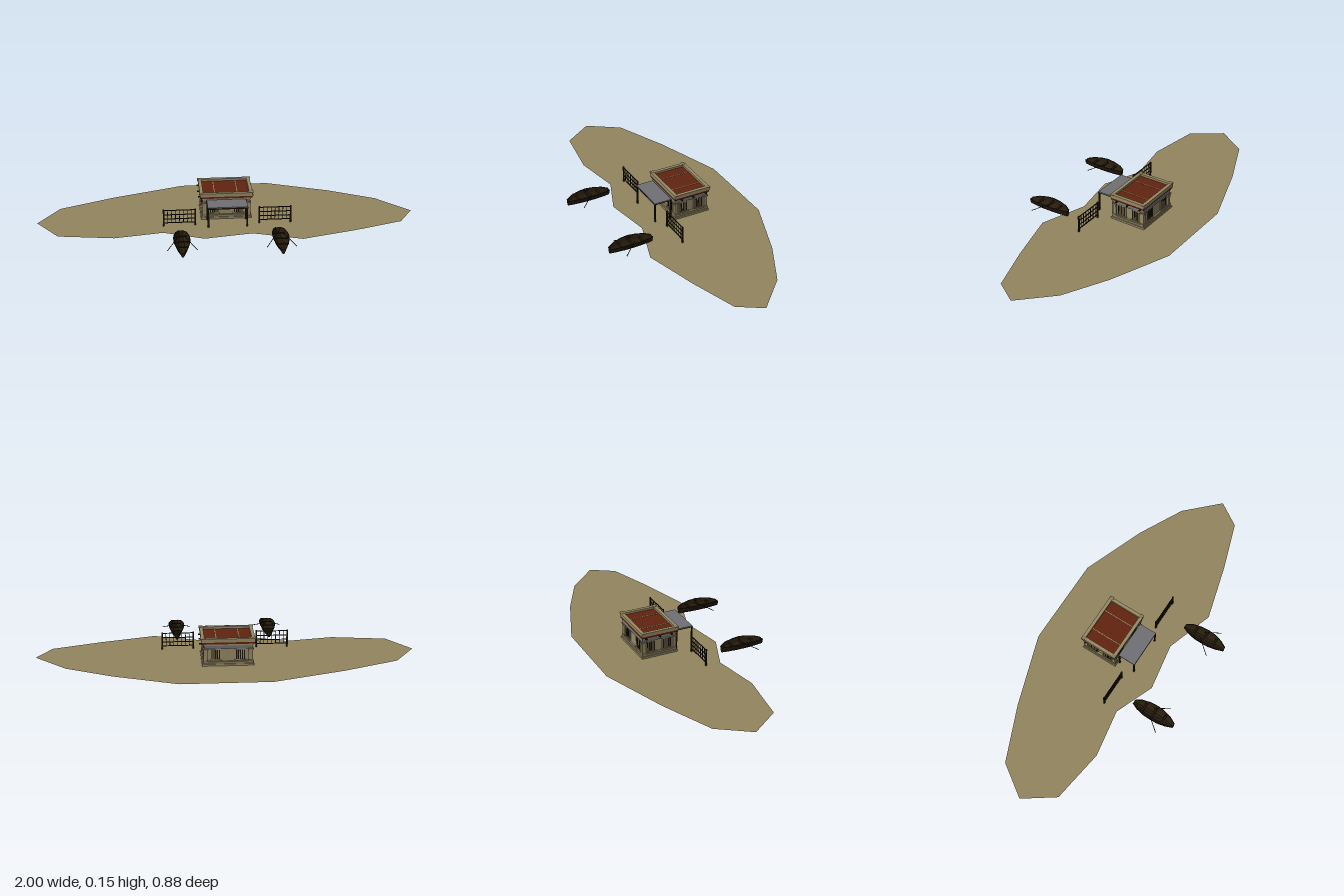
import * as THREE from 'three';

const mat = (name, color, extra = {}) => {
  const m = new THREE.MeshStandardMaterial({ color, ...extra });
  m.name = name;
  return m;
};

export function createModel() {
  const root = new THREE.Group();
  root.name = 'riversideHut';

  const sand = mat('sand', 0x93865f, { side: THREE.DoubleSide });
  const stone = mat('stone', 0x978a66);
  const trim = mat('trimStone', 0x85795a);
  const red = mat('redClay', 0x632410);
  const grey = mat('greySlate', 0x717175);
  const wood = mat('darkWood', 0x1f160a);
  const hullMat = mat('hullWood', 0x271c0c, { side: THREE.DoubleSide });

  const box = (parent, name, m, w, h, d, x, y, z) => {
    const mesh = new THREE.Mesh(new THREE.BoxGeometry(w, h, d), m);
    mesh.name = name;
    mesh.position.set(x, y, z);
    parent.add(mesh);
    return mesh;
  };
  // Round rod between two points
  const rod = (parent, name, m, a, b, r) => {
    const p = new THREE.Vector3(...a), q = new THREE.Vector3(...b);
    const mesh = new THREE.Mesh(new THREE.CylinderGeometry(r, r, p.distanceTo(q), 8), m);
    mesh.name = name;
    mesh.position.copy(p).add(q).multiplyScalar(0.5);
    mesh.quaternion.setFromUnitVectors(new THREE.Vector3(0, 1, 0), q.sub(p).normalize());
    parent.add(mesh);
  };
  const group = (name, parent = root) => {
    const g = new THREE.Group();
    g.name = name;
    parent.add(g);
    return g;
  };

  // Flat island with an irregular shore
  const shore = [
    [-1, -0.02], [-0.885, -0.19], [-0.595, -0.313], [-0.215, -0.44], [0.26, -0.44], [0.595, -0.313],
    [0.835, -0.19], [1, -0.022], [0.92, 0.105], [0.665, 0.19], [0.375, 0.27], [0.122, 0.186],
    [-0.13, 0.228], [-0.34, 0.143], [-0.595, 0.186], [-0.885, 0.143],
  ];
  const groundGeo = new THREE.ShapeGeometry(new THREE.Shape(shore.map(([x, z]) => new THREE.Vector2(x, -z))));
  groundGeo.rotateX(-Math.PI / 2);
  const ground = new THREE.Mesh(groundGeo, sand);
  ground.name = 'ground';
  ground.position.y = 0.002;
  root.add(ground);

  // Hut body, stacked in layers
  const hut = group('hut');
  hut.position.z = -0.1025;
  box(hut, 'plinth', stone, 0.27, 0.012, 0.205, 0, 0.006, 0);
  box(hut, 'plinthStep', trim, 0.26, 0.014, 0.197, 0, 0.017, 0);
  box(hut, 'walls', stone, 0.236, 0.08, 0.176, 0, 0.058, 0);
  box(hut, 'lintelBand', grey, 0.25, 0.018, 0.192, 0, 0.102, 0);
  box(hut, 'cornice', stone, 0.26, 0.01, 0.195, 0, 0.116, 0);
  box(hut, 'redBand', red, 0.276, 0.011, 0.203, 0, 0.1255, 0);

  // Corner pilasters with base and capital
  for (const sx of [-1, 1]) for (const sz of [-1, 1]) {
    const x = sx * 0.117, z = sz * 0.087;
    box(hut, 'pilaster', stone, 0.022, 0.07, 0.018, x, 0.058, z);
    box(hut, 'pilasterBase', trim, 0.027, 0.006, 0.023, x, 0.027, z);
    box(hut, 'pilasterCapital', trim, 0.029, 0.006, 0.026, x, 0.091, z);
    box(hut, 'parapetCap', trim, 0.022, 0.004, 0.022, sx * 0.133, 0.149, sz * 0.094);
  }

  // Barred windows, two on each wall
  const windowSet = (px, pz, turn, offset) => {
    const wall = group('wallWindows', hut);
    wall.position.set(px, 0, pz);
    wall.rotation.y = turn;
    for (const s of [-1, 1]) {
      const x = s * offset;
      box(wall, 'windowFrame', stone, 0.056, 0.062, 0.006, x, 0.06, 0.002);
      for (let i = -2; i <= 2; i++)
        box(wall, 'windowSlot', wood, 0.0058, 0.052, 0.002, x + i * 0.0098, 0.061, 0.0052);
      box(wall, 'windowSill', trim, 0.06, 0.005, 0.01, x, 0.03, 0.003);
    }
  };
  windowSet(0, 0.088, 0, 0.064);
  windowSet(0, -0.088, Math.PI, 0.064);
  windowSet(0.118, 0, Math.PI / 2, 0.045);
  windowSet(-0.118, 0, -Math.PI / 2, 0.045);

  // Parapet around a sunken red roof
  for (const s of [-1, 1]) {
    box(hut, 'parapetSide', stone, 0.018, 0.019, 0.209, s * 0.131, 0.1405, 0);
    box(hut, 'parapetEnd', stone, 0.244, 0.019, 0.018, 0, 0.1405, s * 0.0955);
    box(hut, 'roofStrip', stone, 0.004, 0.002, 0.172, s * 0.06, 0.1385, 0);
    for (const z of [-0.08, -0.003, 0.064])
      rod(hut, 'beamEnd', wood, [s * 0.11, 0.118, z], [s * 0.148, 0.118, z], 0.0045);
  }
  box(hut, 'roof', red, 0.244, 0.006, 0.174, 0, 0.135, 0);

  // Porch awning on four posts
  const porch = group('porch');
  box(porch, 'awning', grey, 0.21, 0.005, 0.098, 0, 0.113, 0.052);
  for (const z of [0.008, 0.098]) {
    box(porch, 'awningBeam', wood, 0.216, 0.007, 0.007, 0, 0.108, z);
    for (const s of [-1, 1]) box(porch, 'porchPost', wood, 0.008, 0.11, 0.007, s * 0.102, 0.056, z);
  }
  for (const s of [-1, 1]) box(porch, 'sideBeam', wood, 0.005, 0.005, 0.098, s * 0.102, 0.109, 0.052);

  // Lattice fences either side
  for (const s of [-1, 1]) {
    const fence = group('fence');
    fence.position.set(s * 0.252, 0, 0.063);
    for (const e of [-1, 1]) box(fence, 'fencePost', wood, 0.008, 0.096, 0.007, e * 0.083, 0.048, 0);
    for (const y of [0.02, 0.042, 0.066, 0.091]) box(fence, 'fenceRail', wood, 0.166, 0.004, 0.004, 0, y, 0);
    for (let i = -3; i <= 3; i++) box(fence, 'fenceBar', wood, 0.003, 0.073, 0.003, i * 0.0208, 0.055, 0);
  }

  // Boat hull lofted through stations: z, half width, rim height
  const stations = [
    [-0.121, 0.011, 0.037], [-0.088, 0.028, 0.044], [-0.04, 0.039, 0.048], [0, 0.041, 0.051],
    [0.04, 0.039, 0.048], [0.085, 0.028, 0.043], [0.121, 0.011, 0.033],
  ];
  const profile = [[-1, 1], [-0.8, 0.45], [-0.35, 0], [0.35, 0], [0.8, 0.45], [1, 1]];
  const hullGeometry = () => {
    const pos = [], idx = [], n = profile.length;
    for (const [z, w, top] of stations)
      for (const [px, py] of profile) pos.push(px * w, 0.007 + py * (top - 0.007), z);
    for (let i = 0; i < stations.length - 1; i++)
      for (let j = 0; j < n - 1; j++) {
        const a = i * n + j;
        idx.push(a, a + 1, a + n, a + 1, a + n + 1, a + n);
      }
    const last = (stations.length - 1) * n;
    for (let j = 1; j < n - 1; j++) idx.push(0, j + 1, j, last, last + j, last + j + 1);
    const g = new THREE.BufferGeometry();
    g.setAttribute('position', new THREE.Float32BufferAttribute(pos, 3));
    g.setIndex(idx);
    const flat = g.toNonIndexed();
    flat.computeVertexNormals();
    return flat;
  };

  for (const s of [-1, 1]) {
    const boat = group('boat');
    boat.position.set(s * 0.252, 0, 0.317);
    const hull = new THREE.Mesh(hullGeometry(), hullMat);
    hull.name = 'hull';
    boat.add(hull);
    for (const e of [-1, 1]) {
      // Rim along each side
      for (let i = 0; i < stations.length - 1; i++) {
        const [z0, w0, y0] = stations[i], [z1, w1, y1] = stations[i + 1];
        rod(boat, 'rim', wood, [e * w0, y0, z0], [e * w1, y1, z1], 0.0022);
      }
      rod(boat, 'oar', wood, [e * 0.022, 0.051, -0.012], [e * 0.076, 0.016, 0.06], 0.0018);
    }
    // Seats and keel board
    for (const z of [-0.06, 0, 0.06]) box(boat, 'seat', wood, z ? 0.056 : 0.07, 0.003, 0.012, 0, 0.034, z);
    box(boat, 'keel', wood, 0.005, 0.004, 0.236, 0, 0.0075, 0);
  }

  return root;
}
